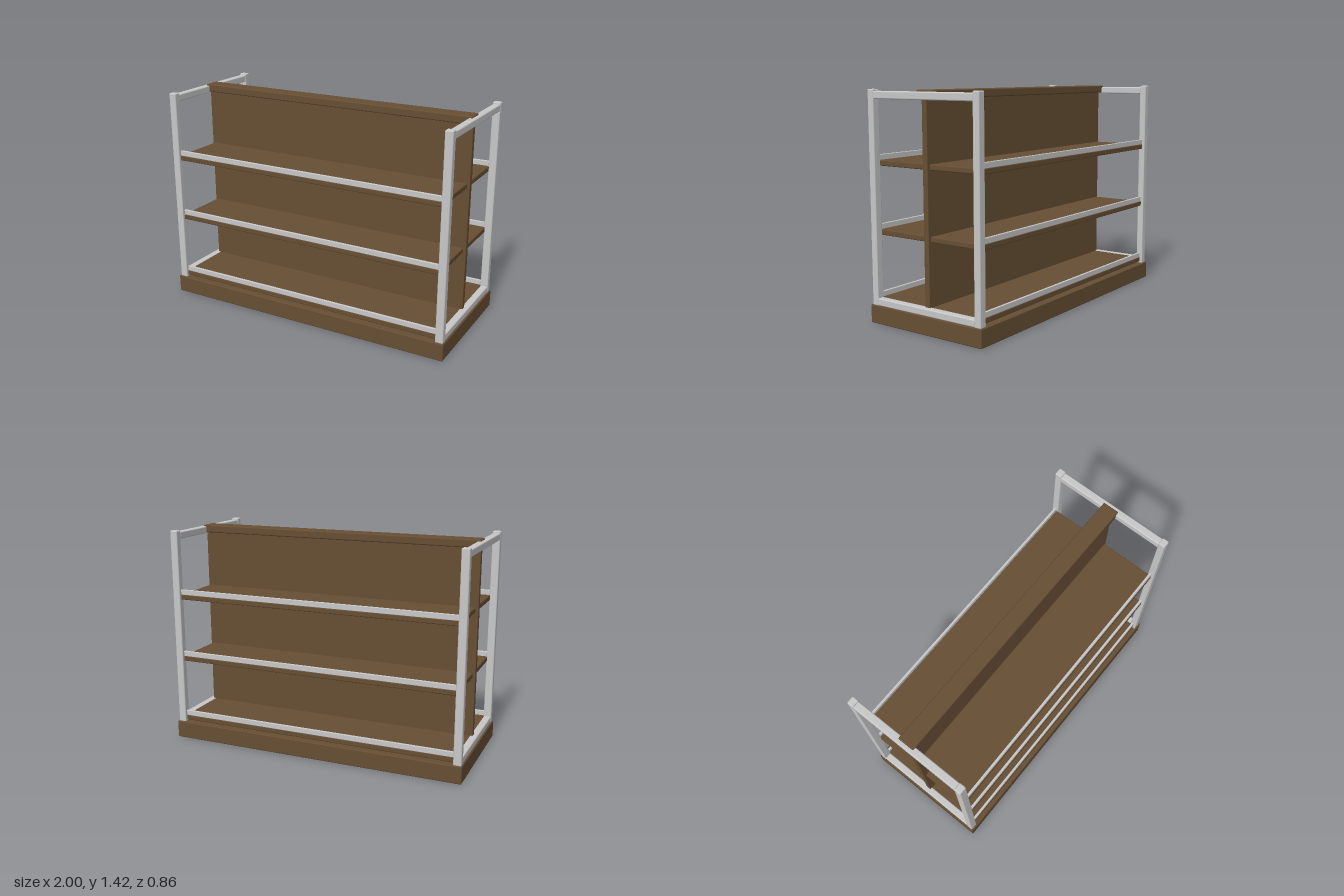
import * as THREE from 'three';
import { RoundedBoxGeometry } from 'three/addons/geometries/RoundedBoxGeometry.js';

export function createModel() {
  const group = new THREE.Group();
  const wood = new THREE.MeshStandardMaterial({ color: 0x674e34 });
  wood.name = 'brown wood';
  const metal = new THREE.MeshStandardMaterial({ color: 0xc8c8c8 });
  metal.name = 'light grey metal';

  // Softly bevelled box given by its minimum and maximum corners
  function box(name, material, [x0, y0, z0], [x1, y1, z1], bevel = 0.006) {
    const geometry = new RoundedBoxGeometry(x1 - x0, y1 - y0, z1 - z0, 2, bevel);
    const mesh = new THREE.Mesh(geometry, material);
    mesh.position.set((x0 + x1) / 2, (y0 + y1) / 2, (z0 + z1) / 2);
    mesh.name = name;
    group.add(mesh);
    return mesh;
  }

  // Plinth, central divider and its cap
  box('base', wood, [-1, 0, -0.43], [1, 0.114, 0.43]);
  box('dividerPanel', wood, [-0.962, 0.11, -0.018], [0.962, 1.38, 0.018], 0.004);
  box('topCap', wood, [-0.967, 1.372, -0.055], [0.967, 1.423, 0.055], 0.008);

  // End frames: two posts joined by a top and a bottom bar
  for (const side of [-1, 1]) {
    const x = side * 0.967;
    const label = side > 0 ? 'left' : 'right';
    for (const face of [-1, 1]) {
      const z = face * 0.397;
      box(label + (face > 0 ? 'FrontPost' : 'BackPost'), metal,
        [x - 0.026, 0.11, z - 0.023], [x + 0.026, 1.424, z + 0.023], 0.008);
    }
    box(label + 'TopBar', metal, [x - 0.024, 1.366, -0.38], [x + 0.024, 1.413, 0.38], 0.008);
    box(label + 'BottomBar', metal, [x - 0.024, 0.112, -0.38], [x + 0.024, 0.158, 0.38], 0.008);
  }

  // Three shelves on each side of the divider, each with a metal lip rail
  for (const face of [-1, 1]) {
    const label = face > 0 ? 'front' : 'back';
    for (let i = 0; i < 3; i++) {
      const y = 0.157 + i * 0.422;
      const shelf = box(label + 'Shelf' + (i + 1), wood,
        [-0.945, y - 0.034, 0.017], [0.945, y, 0.402]);
      const rail = box(label + 'Rail' + (i + 1), metal,
        [-0.945, y - 0.002, 0.384], [0.945, y + 0.033, 0.4], 0.003);
      shelf.position.z *= face;
      rail.position.z *= face;
    }
  }
  return group;
}
